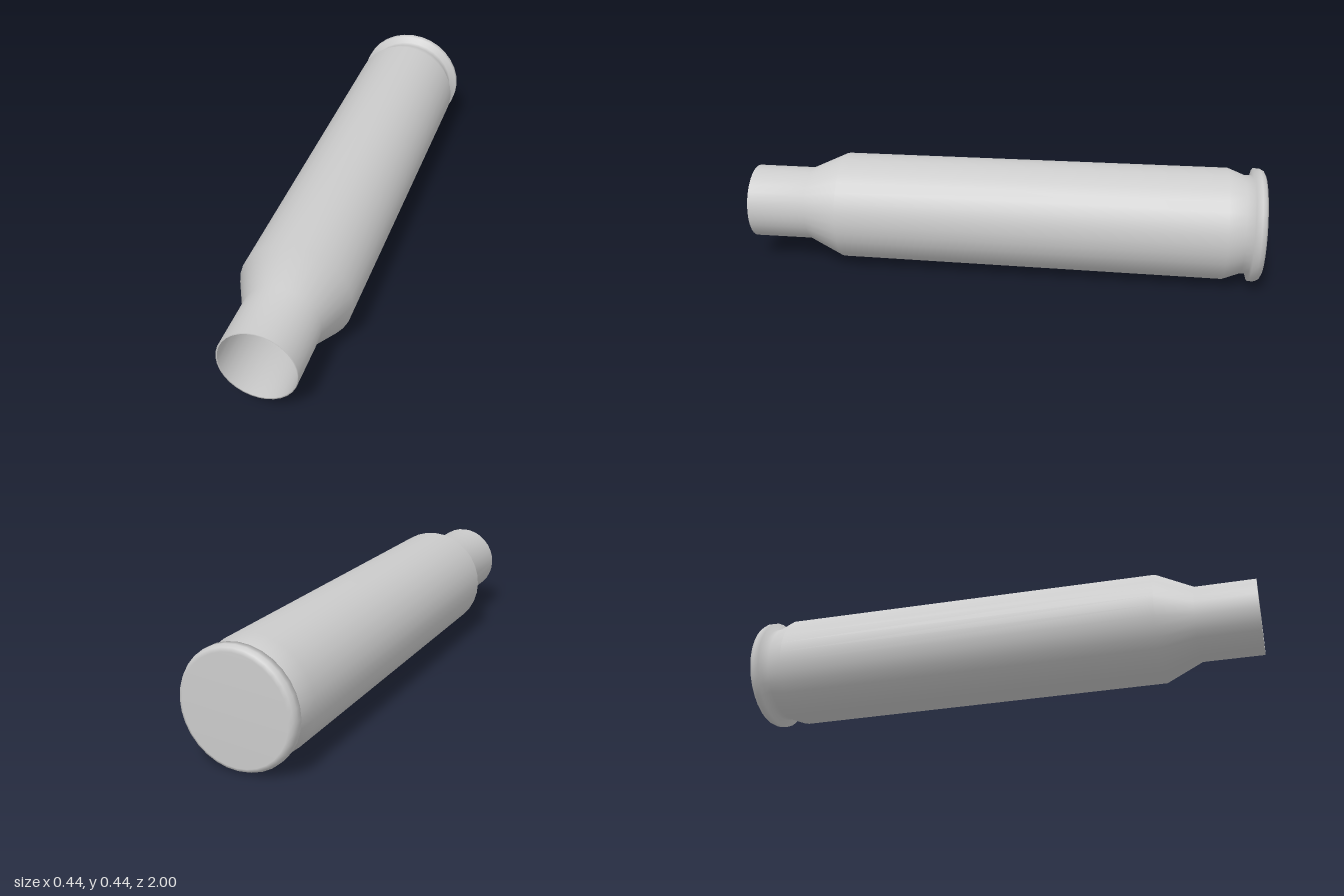
import * as THREE from 'three';

const SIDES = 32;
const RADIUS = 0.2175;

// Revolve [radius, z] pairs about the long axis
function revolve(name, profile) {
  const points = profile.map(([r, z]) => new THREE.Vector2(r, z));
  const geometry = new THREE.LatheGeometry(points, SIDES);
  geometry.rotateX(Math.PI / 2); // lay the axis along z
  const mesh = new THREE.Mesh(geometry, new THREE.MeshStandardMaterial({ color: 0xcccccc }));
  mesh.name = name;
  mesh.position.y = RADIUS;
  return mesh;
}

export function createModel() {
  const group = new THREE.Group();
  group.name = 'cartridgeCase';

  // Outer wall: base, rim, extractor groove, tapered body, shoulder, neck, lip
  group.add(revolve('outerCase', [
    [0, -1],
    [0.197, -1],
    [0.21, -0.993],
    [RADIUS, -0.978],
    [RADIUS, -0.955],
    [0.19, -0.953],
    [0.19, -0.925],
    [0.215, -0.86],
    [0.208, 0.63],
    [0.143, 0.77],
    [0.143, 1],
    [0.138, 1],
  ]));

  // Hollow inside, from the lip down to the floor
  group.add(revolve('innerBore', [
    [0.138, 1],
    [0.138, 0.77],
    [0.202, 0.63],
    [0.207, -0.84],
    [0.17, -0.9],
    [0, -0.92],
  ]));

  return group;
}
